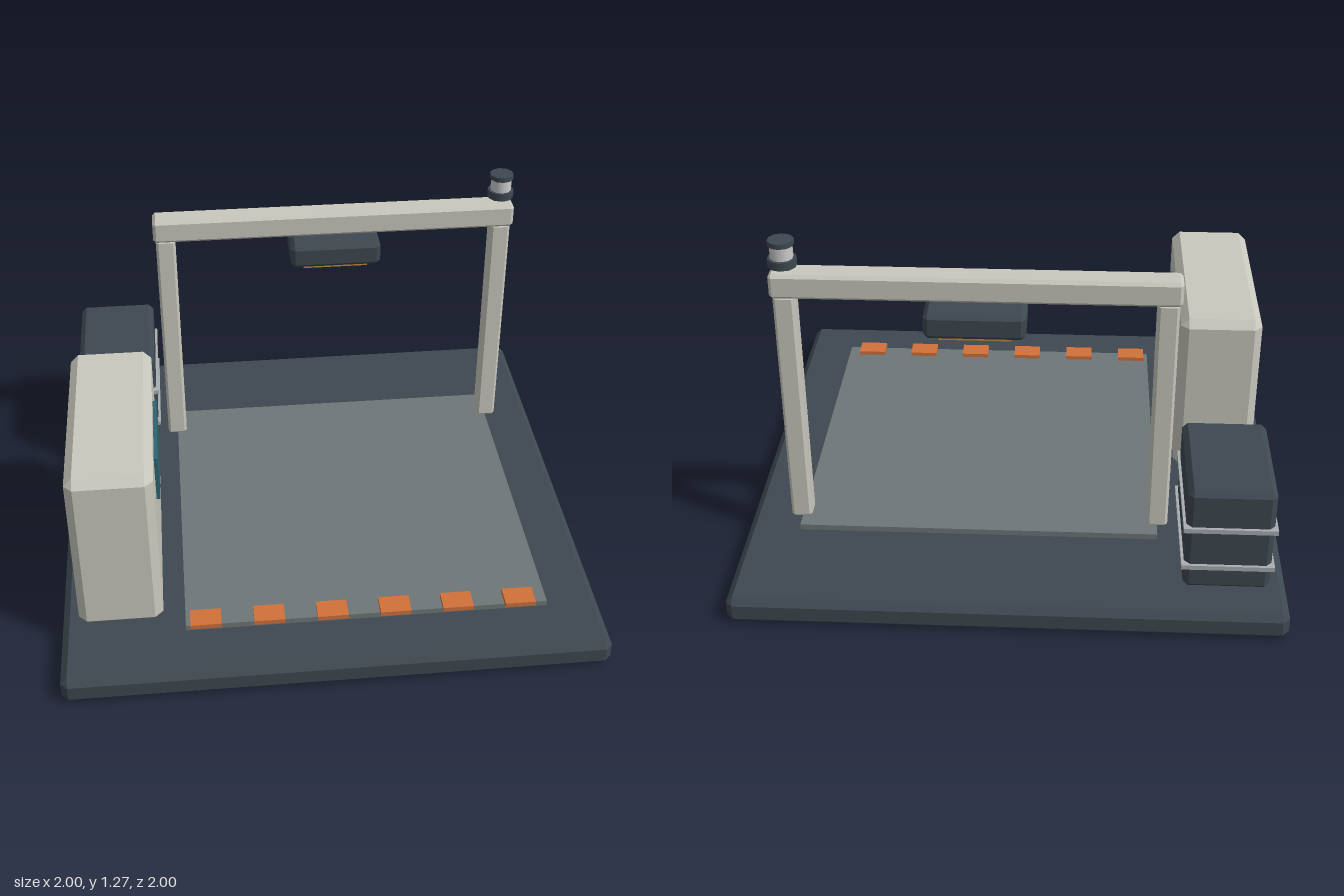
import * as THREE from 'three';
import { ConvexGeometry } from 'three/addons/geometries/ConvexGeometry.js';

const material = (color) => new THREE.MeshStandardMaterial({ color });

// Box with every edge chamfered by b, given as [min, max] ranges
function chamferBox([x0, x1], [y0, y1], [z0, z1], b) {
  const points = [];
  for (const sx of [0, 1]) for (const sy of [0, 1]) for (const sz of [0, 1]) {
    const corner = new THREE.Vector3(sx ? x1 : x0, sy ? y1 : y0, sz ? z1 : z0);
    const inward = new THREE.Vector3(sx ? -b : b, sy ? -b : b, sz ? -b : b);
    for (const keep of ['x', 'y', 'z']) {
      const p = corner.clone().add(inward);
      p[keep] = corner[keep];
      points.push(p);
    }
  }
  return new ConvexGeometry(points);
}

function plainBox([x0, x1], [y0, y1], [z0, z1]) {
  return new THREE.BoxGeometry(x1 - x0, y1 - y0, z1 - z0)
    .translate((x0 + x1) / 2, (y0 + y1) / 2, (z0 + z1) / 2);
}

export function createModel() {
  const model = new THREE.Group();
  model.name = 'scanningStation';

  const dark = material(0x3e4850);
  const floor = material(0x6f7678);
  const beige = material(0xc8c8be);
  const orange = material(0xd0713a);
  const teal = material(0x2f6470);
  const amber = material(0xc08a3a);
  const steel = material(0xa8aeb2);
  const glass = material(0xe4e6e6);

  const add = (name, geometry, mat, parent = model) => {
    const mesh = new THREE.Mesh(geometry, mat);
    mesh.name = name;
    parent.add(mesh);
    return mesh;
  };
  const group = (name) => {
    const g = new THREE.Group();
    g.name = name;
    model.add(g);
    return g;
  };

  // Base and inset floor pad
  add('base', chamferBox([-1, 1], [0, 0.105], [-1, 1], 0.025), dark);
  add('floorPad', plainBox([-0.547, 0.8], [0.1, 0.127], [-0.572, 0.775]), floor);

  // Row of warning tiles along the front edge
  const tiles = group('warningTiles');
  for (let i = 0; i < 6; i++) {
    const x = -0.473 + i * 0.234;
    add('warningTile', plainBox([x - 0.057, x + 0.057], [0.125, 0.143], [0.71, 0.792]), orange, tiles);
  }

  // Gantry: two posts and a crossbeam
  const gantry = group('gantry');
  for (const x of [-0.548, 0.805]) {
    add('post', chamferBox([x - 0.039, x + 0.039], [0.115, 1.065], [-0.506, -0.428], 0.01), beige, gantry);
  }
  add('crossbeam', chamferBox([-0.596, 0.853], [1.06, 1.155], [-0.517, -0.417], 0.012), beige, gantry);

  // Sensor head under the beam
  const sensor = group('sensorHead');
  add('sensorHousing', chamferBox([-0.052, 0.309], [0.943, 1.041], [-0.573, -0.367], 0.017), dark, sensor);
  add('sensorWindow', plainBox([0, 0.257], [0.929, 0.945], [-0.543, -0.397]), amber, sensor);

  // Control cabinet with screen facing the pad
  const cabinet = group('cabinet');
  add('cabinetBody', chamferBox([-0.937, -0.627], [0.108, 0.78], [-0.105, 0.727], 0.03), beige, cabinet);
  add('screen', plainBox([-0.64, -0.613], [0.508, 0.692], [0.134, 0.498]), teal, cabinet);

  // Strapped crate behind the cabinet
  const crate = group('crate');
  add('crateBody', chamferBox([-0.937, -0.627], [0.108, 0.525], [-0.858, -0.393], 0.02), dark, crate);
  for (const y of [0.21, 0.37]) {
    add('strap', plainBox([-0.947, -0.617], [y - 0.009, y + 0.009], [-0.869, -0.381]), steel, crate);
  }

  // Beacon above the left post
  const beacon = group('beacon');
  beacon.position.set(0.803, 0, -0.473);
  const disc = (name, r, y0, y1, sides, mat) =>
    add(name, new THREE.CylinderGeometry(r, r, y1 - y0, sides).translate(0, (y0 + y1) / 2, 0), mat, beacon);
  dark.flatShading = false;
  disc('beaconBase', 0.052, 1.175, 1.206, 10, dark);
  disc('beaconLens', 0.041, 1.2, 1.26, 10, glass);
  disc('beaconCap', 0.047, 1.256, 1.275, 10, dark);

  return model;
}
